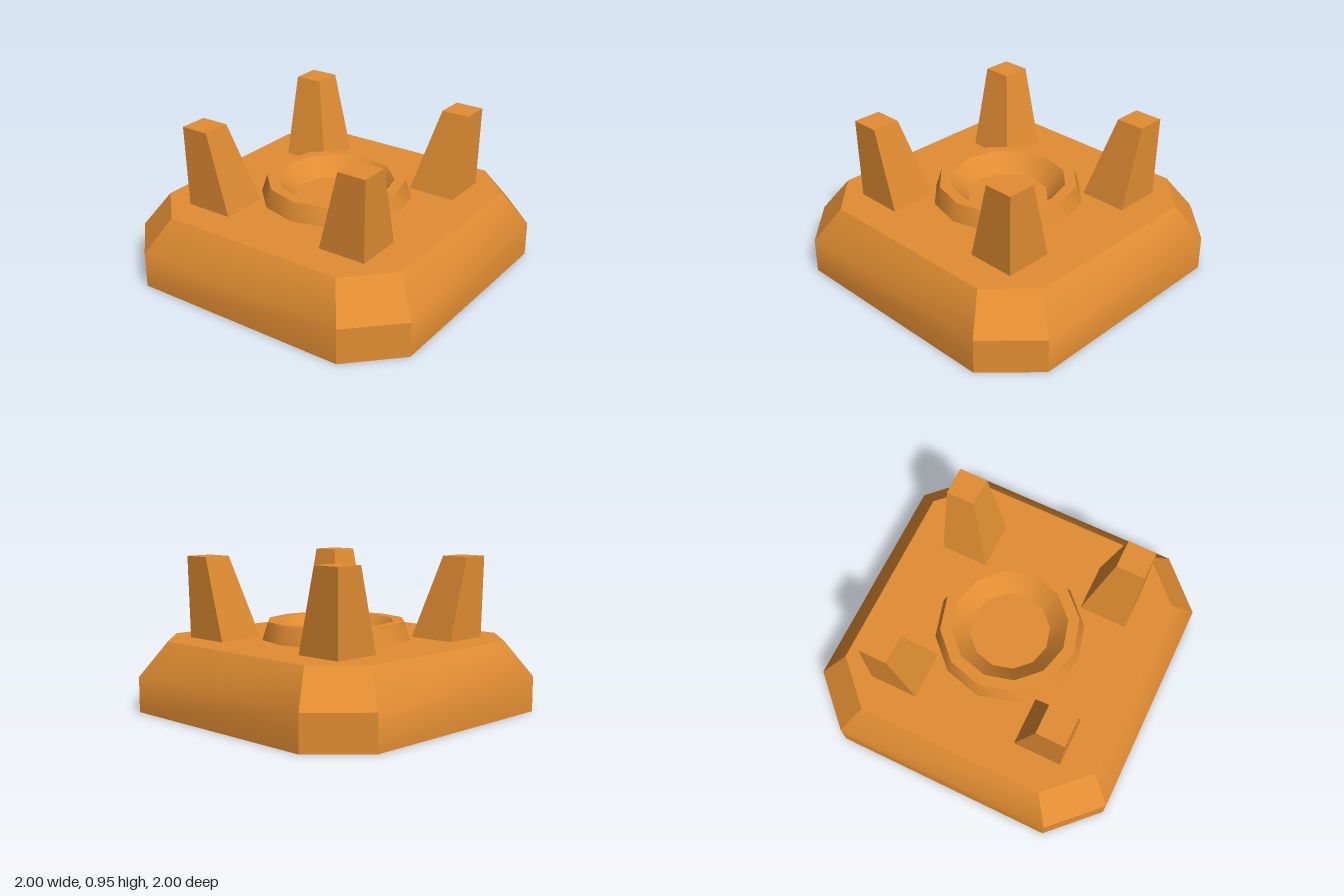
import * as THREE from 'three';
import { toCreasedNormals } from 'three/addons/utils/BufferGeometryUtils.js';

const CREASE = 0.61; // softens the long bevels, keeps the cut corners sharp

// Joins horizontal outlines [[x, z], ...] at given heights into a closed solid
function loft(sections) {
  const n = sections[0].outline.length;
  const positions = [];
  const index = [];
  for (const { y, outline } of sections) {
    for (const [x, z] of outline) positions.push(x, y, z);
  }
  for (let s = 0; s < sections.length - 1; s++) {
    for (let i = 0; i < n; i++) {
      const a = s * n + i;
      const b = s * n + (i + 1) % n;
      index.push(a, b, b + n, a, b + n, a + n);
    }
  }
  const top = (sections.length - 1) * n;
  for (let i = 1; i < n - 1; i++) {
    index.push(0, i + 1, i);
    index.push(top, top + i, top + i + 1);
  }
  const geometry = new THREE.BufferGeometry();
  geometry.setAttribute('position', new THREE.Float32BufferAttribute(positions, 3));
  geometry.setIndex(index);
  return toCreasedNormals(geometry, CREASE);
}

// Square with cut corners: half width h, flat sides reaching to c
const cutSquare = (h, c) => [
  [-c, h], [c, h], [h, c], [h, -c], [c, -h], [-c, -h], [-h, -c], [-h, c],
];

// Square spanning a..b on both x and z
const square = (a, b) => [[a, b], [b, b], [b, a], [a, a]];

export function createModel() {
  const model = new THREE.Group();
  model.name = 'pedestal';
  const orange = new THREE.MeshStandardMaterial({ color: 0xe18d32 });
  orange.name = 'orange';

  const add = (name, geometry) => {
    const mesh = new THREE.Mesh(geometry, orange);
    mesh.name = name;
    model.add(mesh);
    return mesh;
  };

  // Bevelled base slab
  add('base', loft([
    { y: 0, outline: cutSquare(1, 0.71) },
    { y: 0.22, outline: cutSquare(1, 0.71) },
    { y: 0.435, outline: cutSquare(0.857, 0.603) },
  ]));

  // Raised twelve-sided collar with a sloping inner wall
  const profile = [[0.473, 0.435], [0.437, 0.547], [0.365, 0.547], [0.255, 0.435]];
  const collar = new THREE.LatheGeometry(profile.map(([r, y]) => new THREE.Vector2(r, y)), 12);
  add('collar', toCreasedNormals(collar, CREASE));

  // Four posts, upright outside and tapering on the inner sides
  const post = loft([
    { y: 0.435, outline: square(0.338, 0.646) },
    { y: 0.948, outline: square(0.473, 0.655) },
  ]);
  ['frontLeftPost', 'backLeftPost', 'backRightPost', 'frontRightPost'].forEach((name, i) => {
    add(name, post).rotation.y = i * Math.PI / 2;
  });

  return model;
}
